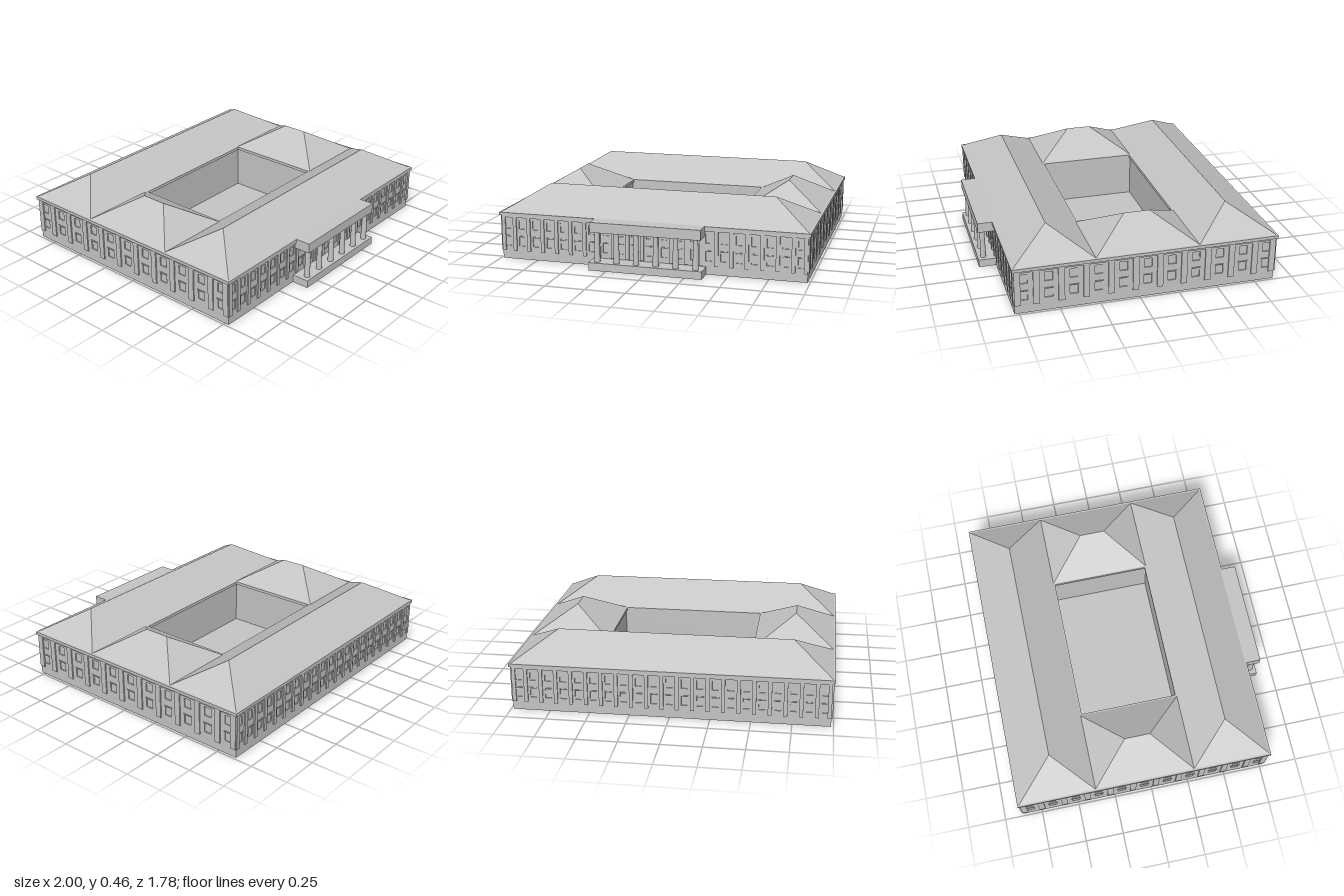
import * as THREE from 'three';

export function createModel() {
  const model = new THREE.Group();
  model.name = 'courtyardBuilding';
  const stone = new THREE.MeshStandardMaterial({ color: 0xc4c4c4, side: THREE.DoubleSide });
  stone.name = 'paleGrey';

  const add = (parent, name, geo, x = 0, y = 0, z = 0) => {
    const mesh = new THREE.Mesh(geo, stone);
    mesh.name = name;
    mesh.position.set(x, y, z);
    parent.add(mesh);
    return mesh;
  };
  const box = (parent, name, x0, x1, y0, y1, z0, z1) =>
    add(parent, name, new THREE.BoxGeometry(x1 - x0, y1 - y0, z1 - z0),
      (x0 + x1) / 2, (y0 + y1) / 2, (z0 + z1) / 2);
  const trace = (path, x0, x1, y0, y1) =>
    path.moveTo(x0, y0).lineTo(x1, y0).lineTo(x1, y1).lineTo(x0, y1).closePath();

  // Outer walls: two storeys of recessed windows between pilasters
  const WALL_TOP = 0.285, THICK = 0.012;
  const floors = [[0.086, 0.145], [0.198, 0.257]];
  function facade(name, length, bays, pitch, winW, x, z, turn) {
    const g = new THREE.Group();
    g.name = name;
    g.position.set(x, 0, z);
    g.rotation.y = turn;
    const shape = new THREE.Shape();
    trace(shape, -length / 2, length / 2, 0, WALL_TOP);
    for (let i = 0; i < bays; i++) {
      const cx = (i - (bays - 1) / 2) * pitch;
      for (const [y0, y1] of floors) {
        const hole = new THREE.Path();
        trace(hole, cx - winW / 2, cx + winW / 2, y0, y1);
        shape.holes.push(hole);
        add(g, 'windowPane', new THREE.PlaneGeometry(winW, y1 - y0), cx, (y0 + y1) / 2, -0.007);
      }
      // ledge over the lower window
      box(g, 'windowLedge', cx - winW * 0.6, cx + winW * 0.6, 0.147, 0.153, 0, 0.005);
    }
    const wall = new THREE.ExtrudeGeometry(shape, { depth: THICK, bevelEnabled: false });
    add(g, 'wall', wall, 0, 0, -THICK);
    // pilasters between bays and at the corners
    const pw = pitch * 0.25;
    for (let i = 0; i <= bays; i++) {
      const edge = length / 2 - pw / 2;
      const px = i === 0 ? -edge : i === bays ? edge : (i - bays / 2) * pitch;
      box(g, 'pilaster', px - pw / 2, px + pw / 2, 0.055, WALL_TOP, 0, 0.008);
    }
    box(g, 'frieze', -length / 2, length / 2, 0.274, WALL_TOP, 0, 0.008);
    model.add(g);
  }
  facade('frontFacade', 1.97, 21, 0.0945, 0.04, 0, 0.778, 0);
  facade('backFacade', 1.97, 21, 0.0945, 0.04, 0, -0.878, Math.PI);
  facade('leftFacade', 1.656, 11, 0.154, 0.05, 0.985, -0.05, Math.PI / 2);
  facade('rightFacade', 1.656, 11, 0.154, 0.05, -0.985, -0.05, -Math.PI / 2);

  // Inner walls: full-width partitions, courtyard ends and floor
  for (const z of [-0.378, 0.278])
    add(model, 'partitionWall', new THREE.PlaneGeometry(1.96, WALL_TOP), 0, WALL_TOP / 2, z);
  for (const x of [-0.485, 0.485])
    add(model, 'courtyardWall', new THREE.PlaneGeometry(0.656, WALL_TOP), x, WALL_TOP / 2, -0.05)
      .rotation.y = Math.PI / 2;
  add(model, 'courtyardFloor', new THREE.PlaneGeometry(0.97, 0.656), 0, 0.002, -0.05)
    .rotation.x = -Math.PI / 2;

  // Cornice slab, open over the courtyard
  const slab = new THREE.Shape();
  trace(slab, -1, 1, -0.79, 0.89);
  const opening = new THREE.Path();
  trace(opening, -0.475, 0.475, -0.268, 0.368);
  slab.holes.push(opening);
  add(model, 'cornice', new THREE.ExtrudeGeometry(slab, { depth: 0.02, bevelEnabled: false }),
    0, WALL_TOP, 0).rotation.x = -Math.PI / 2;

  // Hipped roofs: ridge runs along local x
  function hipRoof(name, length, width, ridge, x, z, turn = 0) {
    const l = length / 2, w = width / 2, r = ridge / 2, h = 0.15;
    const A = [-l, 0, -w], B = [l, 0, -w], C = [l, 0, w], D = [-l, 0, w];
    const P = [-r, h, 0], Q = [r, h, 0];
    const corners = [D, C, Q, D, Q, P, C, B, Q, B, A, P, B, P, Q, A, D, P];
    const geo = new THREE.BufferGeometry();
    geo.setAttribute('position', new THREE.Float32BufferAttribute(corners.flat(), 3));
    geo.computeVertexNormals();
    add(model, name, geo, x, 0.306, z).rotation.y = turn;
  }
  hipRoof('frontRoof', 1.976, 0.504, 1.48, 0, 0.528);
  hipRoof('backRoof', 1.976, 0.504, 1.48, 0, -0.628);
  for (const s of [1, -1])
    hipRoof(s > 0 ? 'leftRoof' : 'rightRoof', 0.654, 0.502, 0.165, s * 0.736, -0.05, Math.PI / 2);

  // Portico with six tapered columns
  const portico = new THREE.Group();
  portico.name = 'portico';
  model.add(portico);
  box(portico, 'porticoBase', -0.362, 0.362, 0, 0.05, 0.778, 0.89);
  box(portico, 'porticoCanopy', -0.352, 0.352, 0.242, 0.306, 0.778, 0.885);
  const shaft = new THREE.CylinderGeometry(0.015, 0.019, 0.192, 16);
  for (let i = 0; i < 6; i++)
    add(portico, 'column', shaft, (i - 2.5) * 0.126, 0.146, 0.853);

  return model;
}
